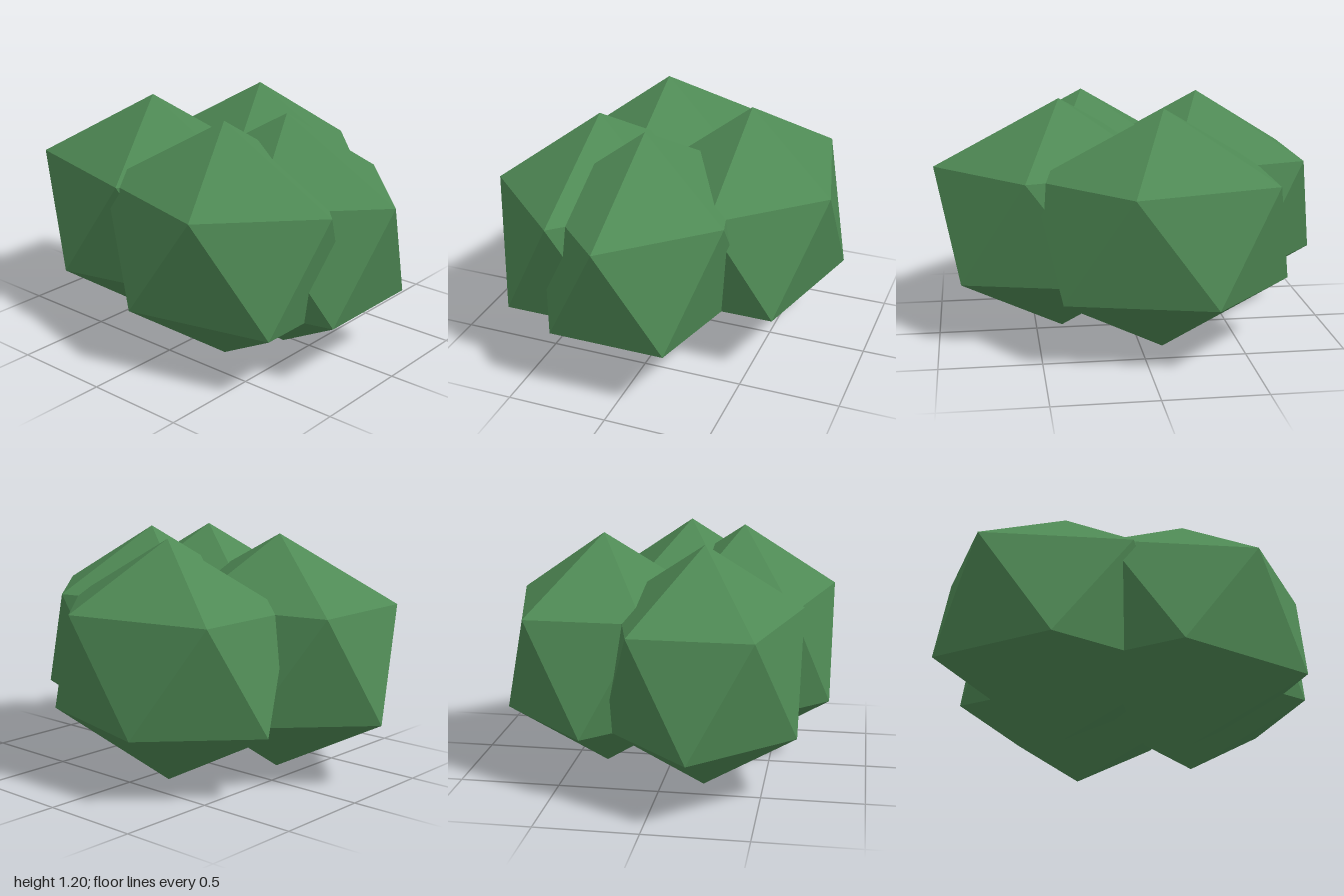
import * as THREE from 'three';

export function createModel() {
  const group = new THREE.Group();
  group.name = 'bush';
  const material = new THREE.MeshStandardMaterial({ color: 0x4f8a55, flatShading: true });

  // One leaf clump: an icosahedron stood on a corner, then stretched sideways
  const [rx, ry, rz] = [0.71, 0.602, 0.547];
  const geometry = new THREE.IcosahedronGeometry(1, 0);
  geometry.rotateZ(-Math.atan(2 / (1 + Math.sqrt(5))));
  geometry.scale(rx, ry, rz);
  geometry.computeVertexNormals();

  // Four overlapping clumps, placed by [name, x, z]
  const clumps = [
    ['leafClumpRight', -0.365, 0.205],
    ['leafClumpFront', 0.225, 0.335],
    ['leafClumpBack', -0.11, -0.335],
    ['leafClumpLeft', 0.365, 0.04],
  ];
  for (const [name, x, z] of clumps) {
    const mesh = new THREE.Mesh(geometry, material);
    mesh.name = name;
    mesh.position.set(x, ry, z);
    group.add(mesh);
  }
  return group;
}
